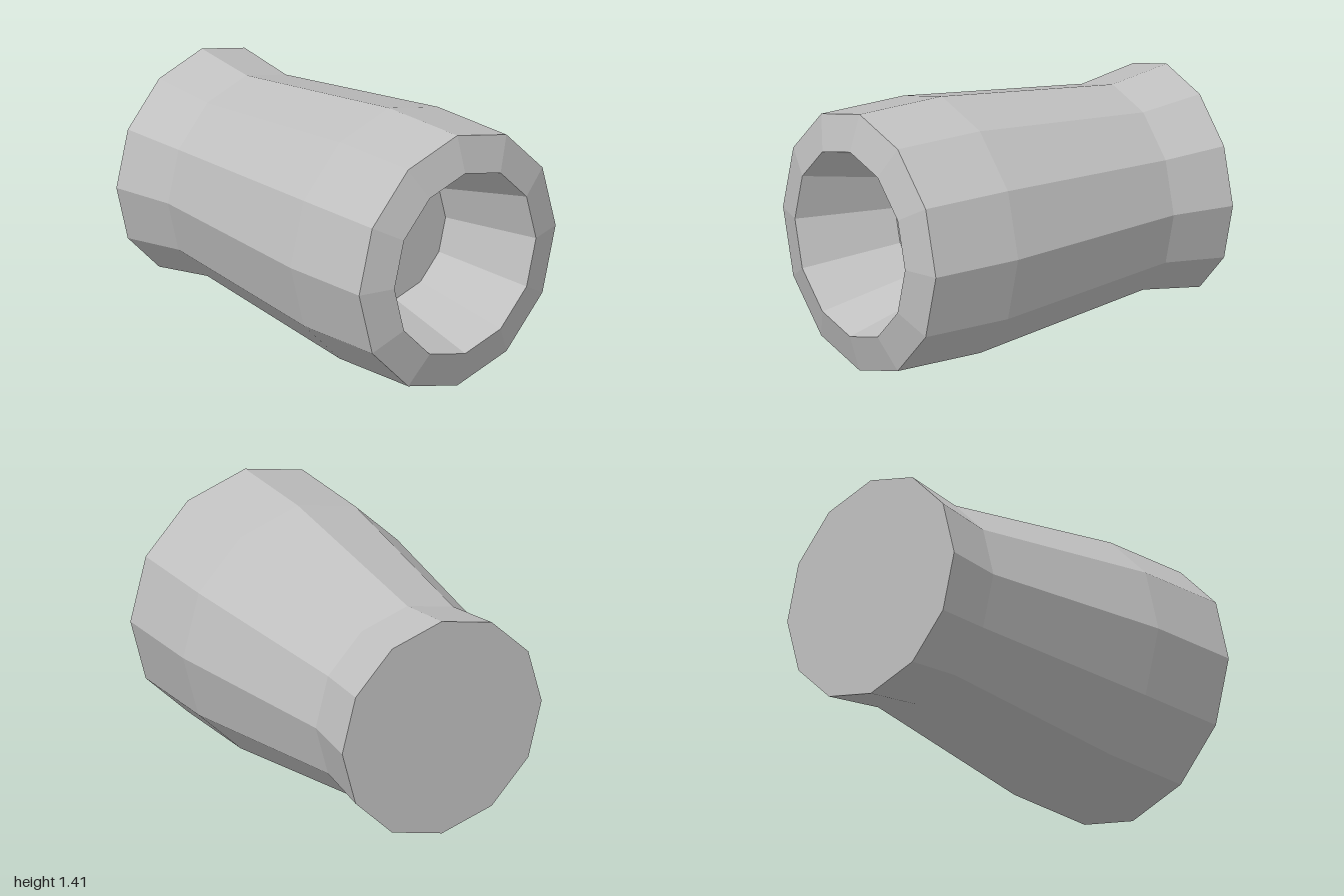
import * as THREE from 'three';

const SIDES = 12;
const RADIUS = 0.704;

export function createModel() {
  const group = new THREE.Group();
  group.name = 'hollowNozzle';

  const grey = new THREE.MeshStandardMaterial({ color: 0xc0c0c0 });
  grey.name = 'grey';
  grey.flatShading = true;

  // Revolves [radius, z] pairs around the z axis
  const addTurned = (name, profile) => {
    const points = profile.map(([r, z]) => new THREE.Vector2(r, z));
    const geometry = new THREE.LatheGeometry(points, SIDES);
    geometry.rotateX(Math.PI / 2);
    const mesh = new THREE.Mesh(geometry, grey);
    mesh.name = name;
    mesh.position.y = RADIUS;
    group.add(mesh);
  };

  // Closed back, flared tail, tapered barrel
  addTurned('body', [[0, -1], [0.612, -1], [0.563, -0.66], [RADIUS, 0.42], [RADIUS, 0.94]]);
  // Bevelled front lip
  addTurned('frontLip', [[RADIUS, 0.94], [0.507, 1]]);
  // Tapered recess with a flat floor
  addTurned('recess', [[0.507, 1], [0.359, 0.47], [0, 0.47]]);

  return group;
}
